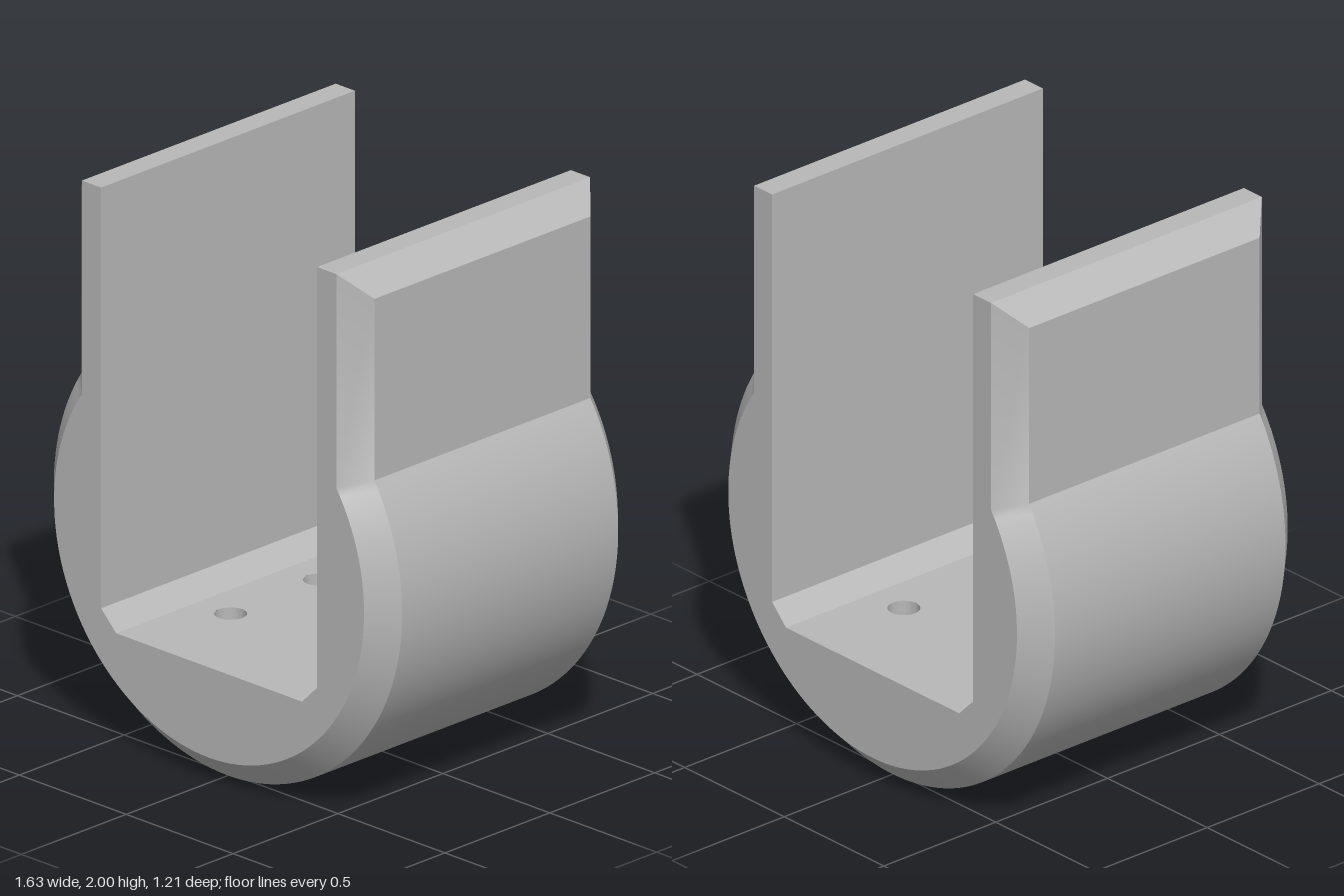
import * as THREE from 'three';
import { mergeGeometries, toCreasedNormals } from 'three/addons/utils/BufferGeometryUtils.js';

const R = 0.815, ARM = 0.685, CHAMFER = 0.09, TOP = 2;
const END = 0.605, MID = END - CHAMFER;          // half depth, and where the chamfer starts
const HOLE_X = 0.285, HOLE_Z = 0.212, BORE = 0.105, HOLE = 0.055;
const FLOOR = 0.415, LEDGE = 0.28;
const CELL_X = 0.57, CELL_A = Math.asin(CELL_X / R), STEPS = 16, UPPER = 32;

// Surface through rows of points
function grid(rows) {
  const pos = [];
  for (let r = 0; r + 1 < rows.length; r++) {
    for (let j = 0; j + 1 < rows[r].length; j++) {
      const a = rows[r][j], b = rows[r][j + 1], c = rows[r + 1][j + 1], d = rows[r + 1][j];
      for (const tri of [[a, b, d], [b, c, d]]) {
        if (new THREE.Triangle(...tri).getArea() > 1e-9) tri.forEach(p => pos.push(p.x, p.y, p.z));
      }
    }
  }
  const g = new THREE.BufferGeometry();
  g.setAttribute('position', new THREE.Float32BufferAttribute(pos, 3));
  return g;
}

const atZ = (pts, z) => pts.map(p => new THREE.Vector3(p.x, p.y, z));
const mirror = pts => pts.map(p => new THREE.Vector2(-p.x, p.y)).reverse();

// Right half of the outer outline, inset by d, from the bottom up
function halfOutline(d) {
  const r = R - d, x = ARM - d, end = Math.PI - Math.asin(x / r), pts = [];
  for (let i = 0; i <= STEPS + UPPER; i++) {
    const a = i <= STEPS ? CELL_A * i / STEPS : CELL_A + (end - CELL_A) * (i - STEPS) / UPPER;
    pts.push(new THREE.Vector2(r * Math.sin(a), R - r * Math.cos(a)));
  }
  pts.push(new THREE.Vector2(x, TOP - CHAMFER + d), new THREE.Vector2(ARM - CHAMFER, TOP));
  return pts;
}

// Underside cell around one hole: curved skin, counterbore, ledge and through hole
function holeCell(sx, sz) {
  const cx = sx * HOLE_X, cz = sz * HOLE_Z;
  const xAt = t => R * Math.sin(CELL_A * (sx > 0 ? t : t - 1));
  const zAt = t => MID * (sz > 0 ? t : t - 1);
  const rim = [];
  for (let side = 0; side < 4; side++) {
    for (let i = 0; i < STEPS; i++) {
      const t = i / STEPS;
      const [u, v] = [[1, t], [1 - t, 1], [0, 1 - t], [t, 0]][side];
      rim.push([xAt(u), zAt(v)]);
    }
  }
  rim.push(rim[0]);
  const skinY = x => R - Math.sqrt(R * R - x * x);
  const ring = (radius, y) => rim.map(([x, z]) => {
    const a = Math.atan2(z - cz, x - cx), px = cx + radius * Math.cos(a);
    return new THREE.Vector3(px, y ?? skinY(px), cz + radius * Math.sin(a));
  });
  const bore = ring(BORE), rows = [];
  for (let k = 0; k <= 8; k++) {
    rows.push(rim.map(([x, z], i) => {
      const px = THREE.MathUtils.lerp(x, bore[i].x, k / 8);
      return new THREE.Vector3(px, skinY(px), THREE.MathUtils.lerp(z, bore[i].z, k / 8));
    }));
  }
  rows.push(ring(BORE, LEDGE), ring(HOLE, LEDGE), ring(HOLE, FLOOR));
  return grid(rows);
}

function flat(shape) {
  const g = new THREE.ShapeGeometry(shape, 32).toNonIndexed();
  g.deleteAttribute('normal');
  g.deleteAttribute('uv');
  return g;
}

export function createModel() {
  const grey = new THREE.MeshStandardMaterial({ color: 0xb8b8b8 });
  grey.name = 'grey';

  const outer = halfOutline(0), inset = halfOutline(CHAMFER);
  const full = half => [...mirror(half).slice(0, -1), ...half];
  const parts = [];

  // Bevelled rims at both ends
  parts.push(grid([atZ(full(inset), -END), atZ(full(outer), -MID)]));
  parts.push(grid([atZ(full(outer), MID), atZ(full(inset), END)]));

  // Round flanks and arm outsides
  const flank = outer.slice(STEPS);
  for (const pts of [flank, mirror(flank)]) parts.push(grid([atZ(pts, -MID), atZ(pts, MID)]));

  // Underside with four counterbored holes
  for (const sx of [-1, 1]) for (const sz of [-1, 1]) parts.push(holeCell(sx, sz));

  // Arm tops, slot walls and the slot's small corner bevels
  const slot = [[ARM - CHAMFER, TOP], [0.505, TOP], [0.505, 0.485], [0.435, FLOOR]]
    .map(p => new THREE.Vector2(...p));
  for (const pts of [slot, mirror(slot)]) parts.push(grid([atZ(pts, -END), atZ(pts, END)]));

  // Slot floor
  const floor = new THREE.Shape([[-0.435, -END], [0.435, -END], [0.435, END], [-0.435, END]]
    .map(p => new THREE.Vector2(...p)));
  for (const sx of [-1, 1]) for (const sz of [-1, 1]) {
    floor.holes.push(new THREE.Path().absarc(sx * HOLE_X, sz * HOLE_Z, HOLE, 0, Math.PI * 2, true));
  }
  parts.push(flat(floor).rotateX(-Math.PI / 2).translate(0, FLOOR, 0));

  // Front and back faces
  const face = new THREE.Shape([...full(inset).slice(1, -1), ...slot.slice(1), ...mirror(slot).slice(0, -1)]);
  parts.push(flat(face).translate(0, 0, END));
  parts.push(flat(face).translate(0, 0, END).rotateY(Math.PI));

  const body = new THREE.Mesh(toCreasedNormals(mergeGeometries(parts), 0.5), grey);
  body.name = 'cradleBracket';
  const group = new THREE.Group();
  group.name = 'cradle';
  group.add(body);
  return group;
}
